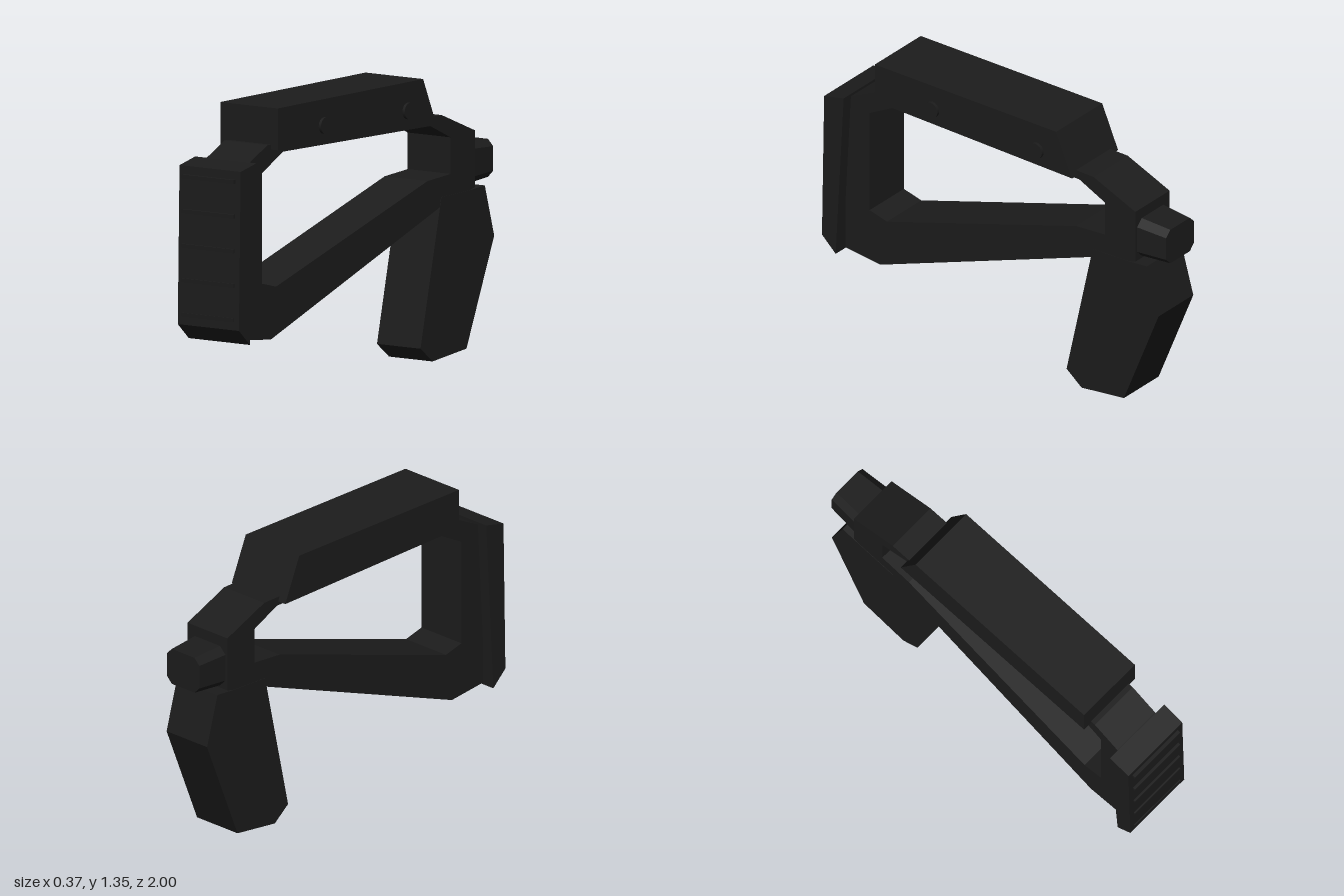
import * as THREE from 'three';

const black = new THREE.MeshStandardMaterial({ color: 0x1c1c1c });
black.name = 'matte black';

// Side profile in (z, y), extruded across x
function profile(name, points, width, hole) {
  const toVectors = (list) => list.map(([z, y]) => new THREE.Vector2(z, y));
  const shape = new THREE.Shape(toVectors(points));
  if (hole) shape.holes.push(new THREE.Path(toVectors(hole)));
  const geometry = new THREE.ExtrudeGeometry(shape, { depth: width, bevelEnabled: false });
  geometry.translate(0, 0, -width / 2);
  geometry.rotateY(-Math.PI / 2);
  const mesh = new THREE.Mesh(geometry, black);
  mesh.name = name;
  return mesh;
}

// Tapered eight-sided connector running back along -z
function connector() {
  const ring = (w, h, c, y0, z) => [
    [w, h - c], [w - c, h], [c - w, h], [-w, h - c],
    [-w, c - h], [c - w, -h], [w - c, -h], [w, c - h],
  ].map(([x, y]) => [x, y + y0, z]);
  const near = ring(0.117, 0.102, 0.035, 0.903, -0.82);
  const far = ring(0.105, 0.09, 0.032, 0.905, -1);
  const v = [];
  for (let i = 0; i < 8; i++) {
    const j = (i + 1) % 8;
    v.push(...near[i], ...far[j], ...near[j], ...near[i], ...far[i], ...far[j]);
    v.push(0, 0.905, -1, ...far[j], ...far[i]);
  }
  const geometry = new THREE.BufferGeometry();
  geometry.setAttribute('position', new THREE.Float32BufferAttribute(v, 3));
  geometry.computeVertexNormals();
  const mesh = new THREE.Mesh(geometry, black);
  mesh.name = 'rearConnector';
  return mesh;
}

export function createModel() {
  const model = new THREE.Group();
  model.name = 'shoulderStock';

  // Open frame
  model.add(profile('frame', [
    [0.9, 0.256], [0.9, 1.06], [0.86, 1.085], [0.715, 1.158], [-0.585, 1.158],
    [-0.835, 1.058], [-0.835, 0.79], [-0.57, 0.722], [0.69, 0.236],
  ], 0.258, [
    [0.755, 1.03], [0.6, 1.115], [-0.5, 1.115], [-0.652, 1.045],
    [-0.652, 0.872], [-0.48, 0.857], [0.65, 0.482], [0.755, 0.507],
  ]));

  // Hand grip
  model.add(profile('grip', [
    [-0.581, 0.77], [-0.425, 0.07], [-0.515, 0], [-0.768, 0.033],
    [-0.975, 0.545], [-0.905, 0.79], [-0.8, 0.78],
  ], 0.262));

  // Cheek rest with its sloped rear end
  const cheekRest = profile('cheekRest', [
    [0.69, 1.135], [0.69, 1.333], [-0.395, 1.353], [-0.49, 1.135],
  ], 0.346);
  cheekRest.position.x = -0.002;
  model.add(cheekRest);

  // Shoulder pad with raised ribs
  model.add(profile('shoulderPad', [
    [0.983, 1.066], [0.866, 1.094], [0.914, 0.24], [0.996, 0.315],
  ], 0.368));
  for (const y of [1.017, 0.853, 0.689, 0.526, 0.363]) {
    const rib = new THREE.Mesh(new THREE.BoxGeometry(0.31, 0.018, 0.02), black);
    rib.name = 'padRib';
    rib.position.set(-0.002, y, 0.99);
    model.add(rib);
  }

  // Cheek rest screws, on the left side only
  for (const z of [0.345, -0.28]) {
    const screw = new THREE.Mesh(new THREE.CylinderGeometry(0.04, 0.04, 0.04, 16), black);
    screw.name = 'screw';
    screw.rotation.z = -Math.PI / 2;
    screw.position.set(0.165, 1.215, z);
    model.add(screw);
  }

  model.add(connector());
  return model;
}
